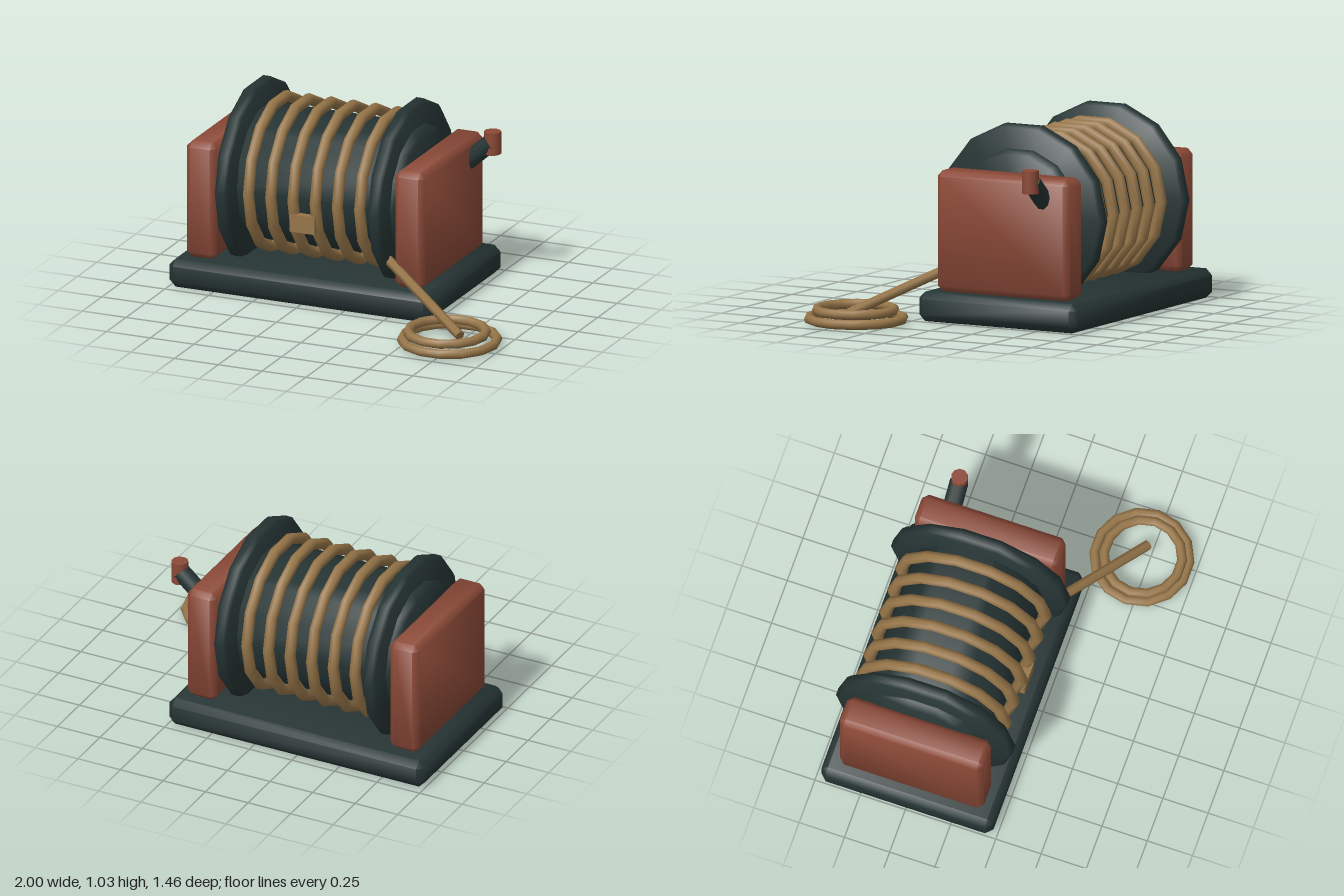
import * as THREE from 'three';
import { toCreasedNormals } from 'three/addons/utils/BufferGeometryUtils.js';
import { ConvexGeometry } from 'three/addons/geometries/ConvexGeometry.js';

const SIDES = 14;
const AXIS_Y = 0.56, AXIS_Z = -0.245;

const material = (name, color) => {
  const m = new THREE.MeshStandardMaterial({ color });
  m.name = name;
  return m;
};

// Box with single-cut bevels on every edge
function bevelBox(w, h, d, b) {
  const points = [];
  for (const x of [-1, 1]) for (const y of [-1, 1]) for (const z of [-1, 1]) {
    const X = x * w / 2, Y = y * h / 2, Z = z * d / 2;
    points.push(
      new THREE.Vector3(X, Y - y * b, Z - z * b),
      new THREE.Vector3(X - x * b, Y, Z - z * b),
      new THREE.Vector3(X - x * b, Y - y * b, Z));
  }
  return toCreasedNormals(new ConvexGeometry(points), 1);
}

// Disc with bevelled rims, lying along the x axis
function bevelDisc(radius, width, b) {
  const h = width / 2;
  const profile = [[0, -h], [radius - b, -h], [radius, -h + b], [radius, h - b], [radius - b, h], [0, h]]
    .map(([r, y]) => new THREE.Vector2(r, y));
  const g = new THREE.LatheGeometry(profile, SIDES);
  g.rotateZ(-Math.PI / 2);
  return toCreasedNormals(g, 0.9);
}

// Cylinder running between two points
function rod(from, to, radius, sides) {
  const a = new THREE.Vector3(...from), b = new THREE.Vector3(...to);
  const dir = b.clone().sub(a);
  const g = new THREE.CylinderGeometry(radius, radius, dir.length(), sides);
  g.applyQuaternion(new THREE.Quaternion().setFromUnitVectors(new THREE.Vector3(0, 1, 0), dir.normalize()));
  const mid = a.add(b).multiplyScalar(0.5);
  return g.translate(mid.x, mid.y, mid.z);
}

export function createModel() {
  const iron = material('dark iron', 0x263434);
  const red = material('rust red', 0x8c4a38);
  const rope = material('rope tan', 0x977649);
  const model = new THREE.Group();
  model.name = 'winch';
  const add = (name, geometry, mat, x = 0, y = 0, z = 0) => {
    const mesh = new THREE.Mesh(geometry, mat);
    mesh.name = name;
    mesh.position.set(x, y, z);
    model.add(mesh);
    return mesh;
  };

  add('base', bevelBox(1.5, 0.155, 0.95, 0.035), iron, -0.25, 0.082, -0.25);

  // Drum, end supports and flanges mirrored about the middle of the base
  add('drum', bevelDisc(0.36, 1.03, 0.03), iron, -0.25, AXIS_Y, AXIS_Z);
  for (const [side, s] of [['right', -1], ['left', 1]]) {
    add(side + 'Support', bevelBox(0.172, 0.64, 0.795, 0.03), red, -0.25 + s * 0.595, 0.478, -0.2475);
    add(side + 'Flange', bevelDisc(0.49, 0.075, 0.018), iron, -0.25 + s * 0.4375, AXIS_Y, AXIS_Z);
  }

  // Rope wound on the drum
  const wrap = new THREE.TorusGeometry(0.4, 0.031, 8, SIDES);
  wrap.rotateY(Math.PI / 2);
  for (let i = 0; i < 6; i++) add('ropeWrap' + (i + 1), wrap, rope, -0.565 + i * 0.127, AXIS_Y, AXIS_Z);
  add('ropeClamp', new THREE.BoxGeometry(0.145, 0.095, 0.045), rope, -0.25, 0.44, 0.152);

  // Loose rope and its coil on the ground
  add('looseRope', rod([0.14, 0.32, 0.06], [0.785, 0.065, 0.472], 0.027, 6), rope);
  for (const [name, radius, x, y, z] of [['lowerCoil', 0.25, 0.72, 0.034, 0.46], ['upperCoil', 0.205, 0.71, 0.077, 0.47]]) {
    const coil = new THREE.TorusGeometry(radius, 0.026, 8, SIDES);
    coil.rotateX(Math.PI / 2);
    add(name, coil, rope, x, y, z);
  }

  // Crank on the left support
  add('crankArm', rod([0.37, 0.65, -0.487], [0.54, 0.8, -0.487], 0.05, 10), iron);
  add('crankKnob', new THREE.CylinderGeometry(0.045, 0.045, 0.122, 10), red, 0.545, 0.8, -0.487);
  return model;
}
